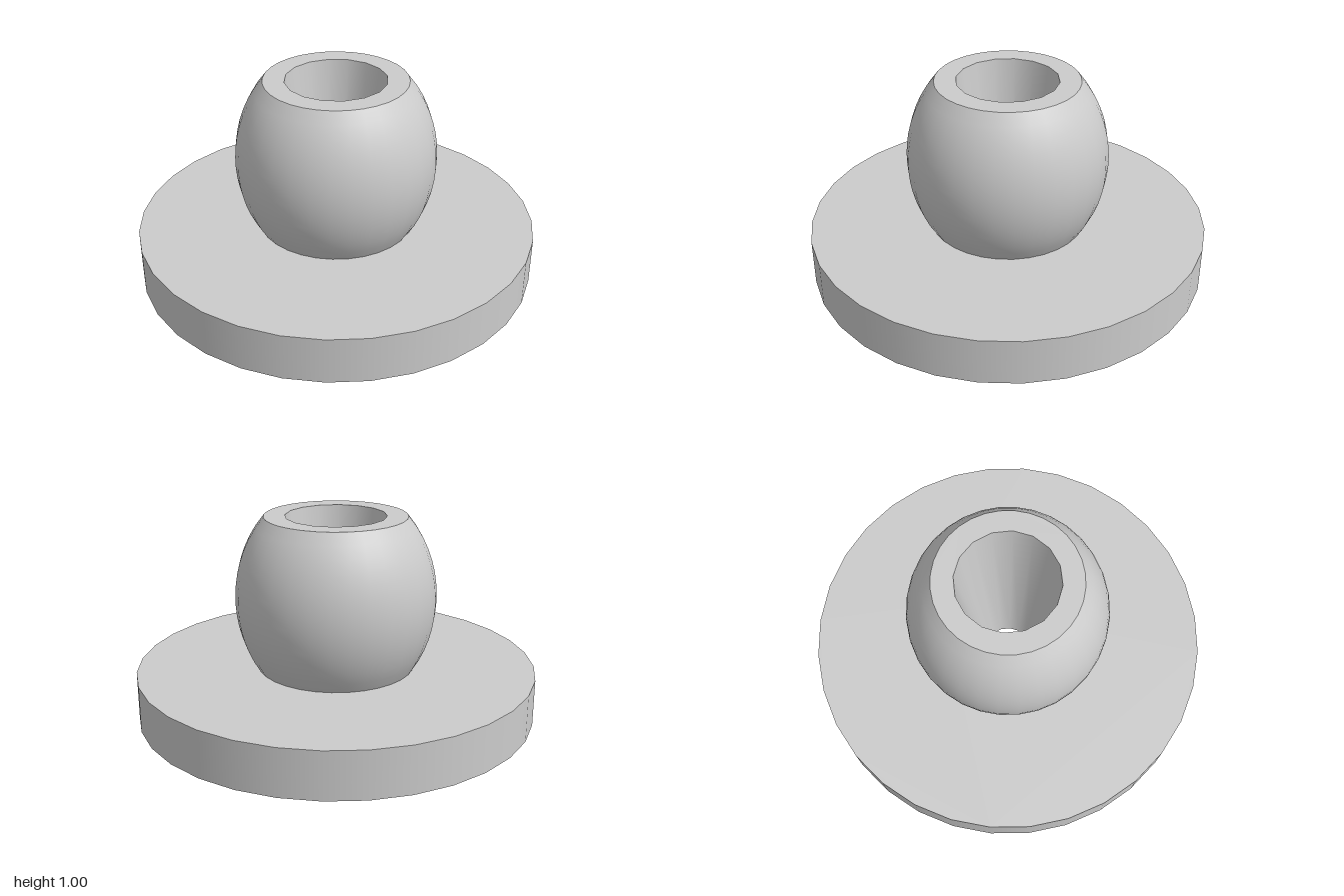
import * as THREE from 'three';

const OUTER_SIDES = 32, BORE_SIDES = 16;
const BASE_R = 1, BASE_H = 0.235, TOP_Y = 1;
const BORE_TOP = 0.25, BORE_BOTTOM = 0.125;
const BULB_Y = 0.59, BULB_R = 0.5, BULB_H = 0.58;

const bulbRadius = (y) => BULB_R * Math.sqrt(1 - ((y - BULB_Y) / BULB_H) ** 2);

function circle(r, sides) {
  return Array.from({ length: sides }, (_, i) => {
    const a = (i / sides) * Math.PI * 2;
    return new THREE.Vector2(r * Math.cos(a), r * Math.sin(a));
  });
}

// Flat horizontal ring, facing up or down
function ring(outer, inner, innerSides, y, up) {
  const shape = new THREE.Shape(circle(outer, OUTER_SIDES));
  shape.holes.push(new THREE.Path(circle(inner, innerSides)));
  return new THREE.ShapeGeometry(shape)
    .rotateX(up ? -Math.PI / 2 : Math.PI / 2)
    .translate(0, y, 0);
}

function lathe(points, sides) {
  return new THREE.LatheGeometry(points.map(([r, y]) => new THREE.Vector2(r, y)), sides);
}

export function createModel() {
  const group = new THREE.Group();
  group.name = 'flangedKnob';
  const material = new THREE.MeshStandardMaterial({ color: 0xcccccc });
  const add = (name, geometry) => {
    const mesh = new THREE.Mesh(geometry, material);
    mesh.name = name;
    group.add(mesh);
  };

  // Round flange
  add('flangeRim', lathe([[BASE_R, 0], [BASE_R, BASE_H]], OUTER_SIDES));
  add('flangeTop', ring(BASE_R, bulbRadius(BASE_H), OUTER_SIDES, BASE_H, true));
  add('flangeUnderside', ring(BASE_R, BORE_BOTTOM, BORE_SIDES, 0, false));

  // Barrel-shaped knob, an ellipsoid cut flat at the top
  const profile = [];
  for (let i = 0; i <= 14; i++) {
    const y = BASE_H + ((TOP_Y - BASE_H) * i) / 14;
    profile.push([bulbRadius(y), y]);
  }
  add('knob', lathe(profile, OUTER_SIDES));
  add('knobTop', ring(bulbRadius(TOP_Y), BORE_TOP, BORE_SIDES, TOP_Y, true));

  // Tapered hole through the full height
  add('bore', lathe([[BORE_TOP, TOP_Y], [BORE_BOTTOM, 0]], BORE_SIDES));

  return group;
}
